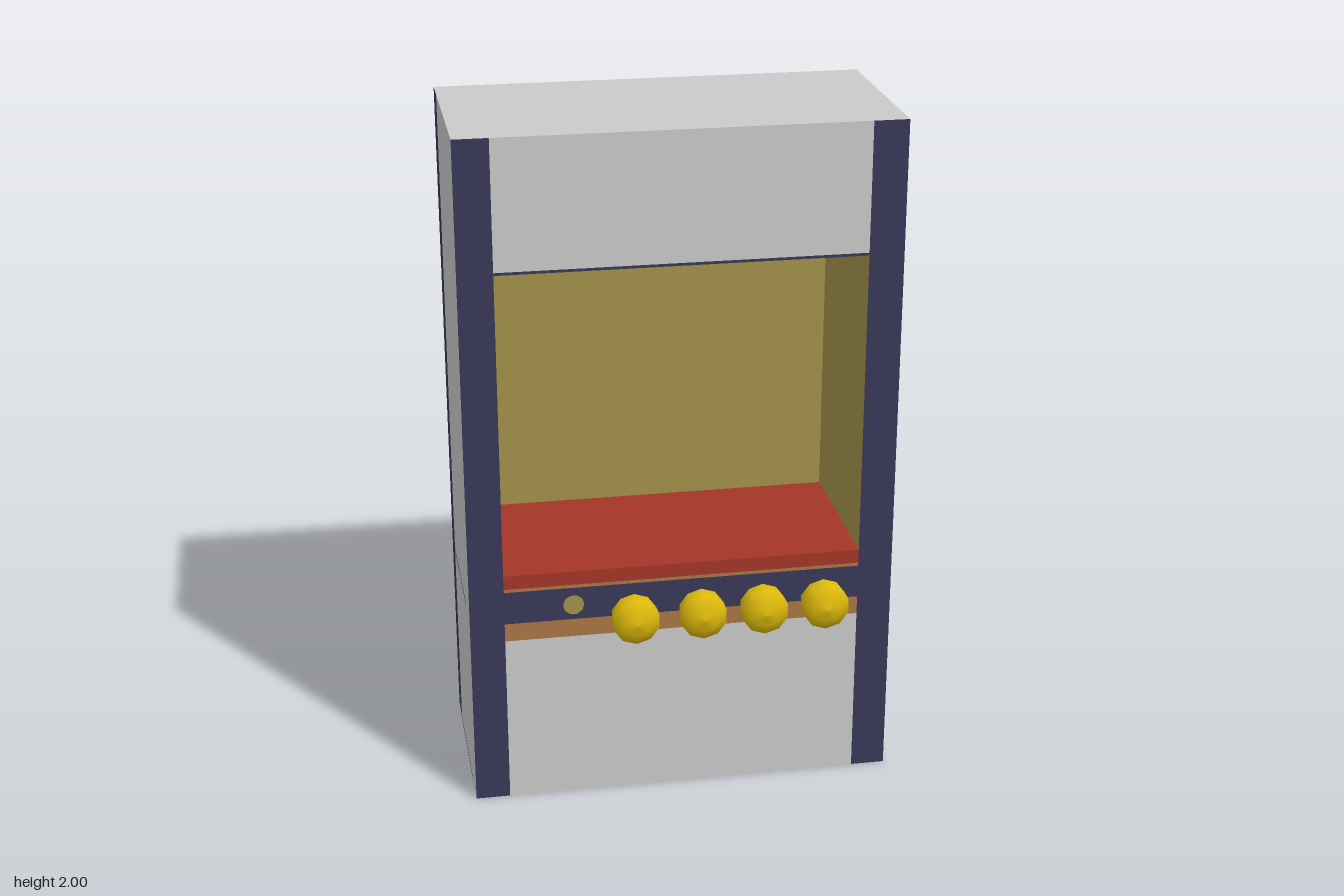
import * as THREE from 'three';

export function createModel() {
  const model = new THREE.Group();
  const material = (name, color) => {
    const m = new THREE.MeshStandardMaterial({ color });
    m.name = name;
    return m;
  };
  const grey = material('light grey', 0xcacaca);
  const navy = material('navy', 0x383858);
  const olive = material('olive', 0xa3924b);
  const red = material('red', 0xa43628);
  const orange = material('orange', 0xaa7546);
  const yellow = material('yellow', 0xdcb90c);
  const steel = material('steel grey', 0x8c8c8c);

  const add = (parent, name, geometry, mat) => {
    const mesh = new THREE.Mesh(geometry, mat);
    mesh.name = name;
    parent.add(mesh);
    return mesh;
  };

  // Cabinet limits, and the recess cut into its front
  const X = 0.62, H = 2, BACK = -0.38, FRONT = 0.206;
  const RX = 0.52, RY0 = 0.722, RY1 = 1.62, RZ = -0.29;

  // Rectangular panels facing along z, x or y
  const panelZ = (name, mat, x0, x1, y0, y1, z, dir = 1) => {
    const p = add(model, name, new THREE.PlaneGeometry(x1 - x0, y1 - y0), mat);
    p.position.set((x0 + x1) / 2, (y0 + y1) / 2, z);
    if (dir < 0) p.rotation.y = Math.PI;
  };
  const panelX = (name, mat, z0, z1, y0, y1, x, dir) => {
    const p = add(model, name, new THREE.PlaneGeometry(z1 - z0, y1 - y0), mat);
    p.position.set(x, (y0 + y1) / 2, (z0 + z1) / 2);
    p.rotation.y = dir * Math.PI / 2;
  };
  const panelY = (name, mat, x, z0, z1, y, dir) => {
    const p = add(model, name, new THREE.PlaneGeometry(2 * x, z1 - z0), mat);
    p.position.set(0, y, (z0 + z1) / 2);
    p.rotation.x = -dir * Math.PI / 2;
  };

  // Outer shell
  panelZ('backPanel', grey, -X, X, 0, H, BACK, -1);
  panelY('topPanel', grey, X, BACK, FRONT, H, 1);
  panelY('bottomPanel', grey, X, BACK, FRONT, 0, -1);
  for (const s of [-1, 1]) {
    const side = s > 0 ? 'left' : 'right';
    panelX(side + 'SidePanel', grey, RZ, FRONT, 0, H, s * X, s);
    panelX(side + 'RearEdge', navy, BACK, RZ, 0, H, s * X, s);
    panelZ(side + 'FrontPost', navy, s > 0 ? RX : -X, s > 0 ? X : -RX, 0, H, FRONT);
    panelX(side + 'RecessWall', olive, RZ, FRONT, RY0, RY1, s * RX, -s);
  }
  // Dark joints along one side
  panelX('sideSeam', navy, RZ, 0.1, 0.588, 0.596, -X - 0.001, -1);
  panelX('sideBaseSeam', navy, RZ, 0.1, 0, 0.008, -X - 0.001, -1);

  // Recess
  panelZ('recessBack', olive, -RX, RX, RY0, RY1, RZ);
  panelY('recessFloor', red, RX, RZ, FRONT, RY0, 1);
  panelY('recessCeiling', olive, RX, RZ, FRONT, RY1, -1);

  // Bands across the front, from the base up
  const bands = [
    ['lowerDoor', grey, 0, 0.515],
    ['lowerTrim', orange, 0.515, 0.57],
    ['controlStrip', navy, 0.57, 0.67],
    ['upperTrim', orange, 0.67, 0.68],
    ['shelfLip', red, 0.68, RY0],
    ['headerJoint', navy, RY1, 1.628],
    ['header', grey, 1.628, H],
  ];
  for (const [name, mat, y0, y1] of bands) panelZ(name, mat, -RX, RX, y0, y1, FRONT);

  // Round button on the control strip
  add(model, 'button', new THREE.CircleGeometry(0.031, 10), olive)
    .position.set(-0.32, 0.617, FRONT + 0.003);

  // Lathed part turned so its axis runs along z
  const lathe = (...points) =>
    new THREE.LatheGeometry(points.map(p => new THREE.Vector2(...p)), 10).rotateX(Math.PI / 2);
  const headShape = lathe([0.067, 0.308], [0.068, 0.355], [0.038, 0.37], [0, 0.38]);
  const coneShape = lathe([0.009, 0.268], [0.067, 0.308]);

  // Stem leaning slightly sideways towards the cabinet
  const stemShape = new THREE.CylinderGeometry(0.009, 0.012, 0.046, 8)
    .rotateX(Math.PI / 2).translate(0, 0, 0.248);
  const pos = stemShape.attributes.position;
  for (let i = 0; i < pos.count; i++) {
    pos.setX(i, pos.getX(i) - (0.271 - pos.getZ(i)) * 0.22);
  }
  stemShape.computeVertexNormals();

  // Row of knobs
  [-0.16, 0.034, 0.212, 0.39].forEach((x, i) => {
    const knob = new THREE.Group();
    knob.name = 'knob' + (i + 1);
    knob.position.set(x, 0.62, 0);
    add(knob, 'knobHead', headShape, yellow);
    add(knob, 'knobCone', coneShape, steel);
    add(knob, 'knobStem', stemShape, steel);
    model.add(knob);
  });

  return model;
}
